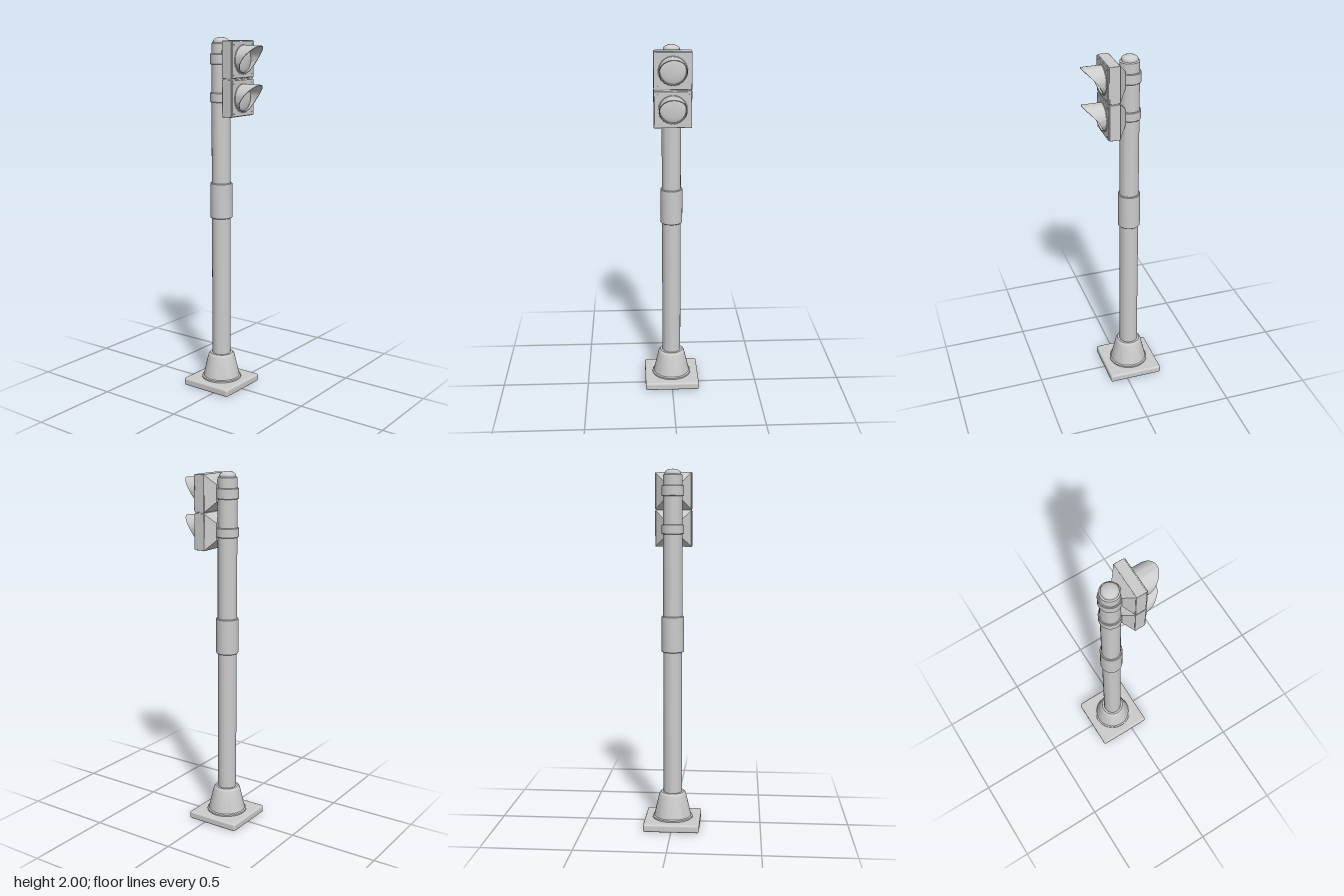
import * as THREE from 'three';
import { toCreasedNormals } from 'three/addons/utils/BufferGeometryUtils.js';
import { RoundedBoxGeometry } from 'three/addons/geometries/RoundedBoxGeometry.js';
import { ParametricGeometry } from 'three/addons/geometries/ParametricGeometry.js';

const grey = new THREE.MeshStandardMaterial({ color: 0xcccccc });
const greyThin = new THREE.MeshStandardMaterial({ color: 0xcccccc, side: THREE.DoubleSide });
const POLE_Z = -0.053;

function add(parent, name, geometry, x = 0, y = 0, z = 0, material = grey) {
  const mesh = new THREE.Mesh(geometry, material);
  mesh.name = name;
  mesh.position.set(x, y, z);
  parent.add(mesh);
  return mesh;
}

// Turned part from [radius, y] pairs, bottom to top
function turned(points, segments = 32) {
  const profile = points.map(([r, y]) => new THREE.Vector2(r, y));
  return toCreasedNormals(new THREE.LatheGeometry(profile, segments), 0.5);
}

// Collar around the pole with slightly eased edges
function collar(r, y0, y1) {
  const e = 0.003;
  return turned([[0.05, y0], [r - e, y0], [r, y0 + e], [r, y1 - e], [r - e, y1], [0.05, y1]]);
}

// Hood: a tube whose front edge sweeps from a long peak down to a short lip
function hoodGeometry() {
  const rings = [[0.075, 0], [0.075, 1], [0.071, 1], [0.071, 0]];
  const geometry = new ParametricGeometry((u, v, target) => {
    const [r, front] = rings[Math.round(v * 3)];
    const a = u * Math.PI * 2;
    const t = (1 + Math.sin(a)) / 2;
    const z = front ? 0.106 + 0.102 * Math.pow(t, 1.65) : 0.09;
    target.set(r * Math.cos(a), r * Math.sin(a), z);
  }, 48, 3);
  return toCreasedNormals(geometry, 0.6);
}

function signalUnit() {
  const unit = new THREE.Group();

  // Housing box, front door and tapered back
  add(unit, 'housing', new RoundedBoxGeometry(0.204, 0.2, 0.06, 2, 0.003), 0, 0, 0.059);
  add(unit, 'door', new RoundedBoxGeometry(0.198, 0.194, 0.008, 2, 0.002), 0, 0, 0.091);
  const back = new THREE.CylinderGeometry(0.047 * Math.SQRT2, 0.101 * Math.SQRT2, 0.046, 4).toNonIndexed();
  back.rotateY(Math.PI / 4).rotateX(-Math.PI / 2);
  back.computeVertexNormals();
  add(unit, 'housingBack', back, 0, 0, 0.009);

  // Shallow domed lens
  const lens = new THREE.SphereGeometry(1, 32, 8, 0, Math.PI * 2, 0, Math.PI / 2);
  lens.rotateX(Math.PI / 2).scale(0.07, 0.07, 0.013);
  add(unit, 'lens', lens, 0, 0, 0.094);
  add(unit, 'lensRing', new THREE.TorusGeometry(0.075, 0.003, 6, 40), 0, 0, 0.095);
  add(unit, 'hood', hoodGeometry(), 0, 0, 0, greyThin);

  // Small grips around the lower half of the ring
  for (let i = 0; i <= 14; i++) {
    const a = Math.PI * (1 + i / 14);
    const grip = add(unit, 'ringGrip', new THREE.BoxGeometry(0.004, 0.006, 0.006),
      0.079 * Math.cos(a), 0.079 * Math.sin(a), 0.096);
    grip.rotation.z = a;
  }

  // Corner screws
  const screw = new THREE.CylinderGeometry(0.004, 0.004, 0.003, 10).rotateX(Math.PI / 2);
  for (const x of [-1, 1]) for (const y of [-1, 1]) {
    add(unit, 'screw', screw, x * 0.083, y * 0.08, 0.096);
  }
  return unit;
}

export function createModel() {
  const model = new THREE.Group();
  model.name = 'signalPost';

  // Square foot
  add(model, 'basePlate', new RoundedBoxGeometry(0.314, 0.045, 0.314, 3, 0.012), 0, 0.0225, POLE_Z);

  // Flanged cone holding the pole
  add(model, 'baseCone', turned([
    [0, 0.04], [0.113, 0.04], [0.113, 0.053], [0.105, 0.057],
    [0.077, 0.178], [0.073, 0.188], [0.065, 0.196], [0.05, 0.196],
  ]), 0, 0, POLE_Z);

  // Pole with its domed cap
  add(model, 'pole', turned([[0.053, 0.15], [0.053, 1.968], [0.045, 1.972]]), 0, 0, POLE_Z);
  add(model, 'poleCap', turned([
    [0.045, 1.97], [0.045, 1.979], [0.041, 1.987], [0.031, 1.994], [0.016, 1.999], [0, 2],
  ]), 0, 0, POLE_Z);

  // Sleeve and clamps
  add(model, 'sleeve', collar(0.062, 1.0, 1.2), 0, 0, POLE_Z);
  add(model, 'upperClamp', collar(0.061, 1.855, 1.913), 0, 0, POLE_Z);
  add(model, 'lowerClamp', collar(0.061, 1.65, 1.702), 0, 0, POLE_Z);

  // Two stacked signal units
  for (const [name, y] of [['upperSignal', 1.884], ['lowerSignal', 1.679]]) {
    const unit = signalUnit();
    unit.name = name;
    unit.position.set(0.002, y, 0);
    model.add(unit);
  }
  // Strip closing the joint between the units
  add(model, 'jointStrip', new THREE.BoxGeometry(0.196, 0.012, 0.05), 0.002, 1.7815, 0.06);
  return model;
}
